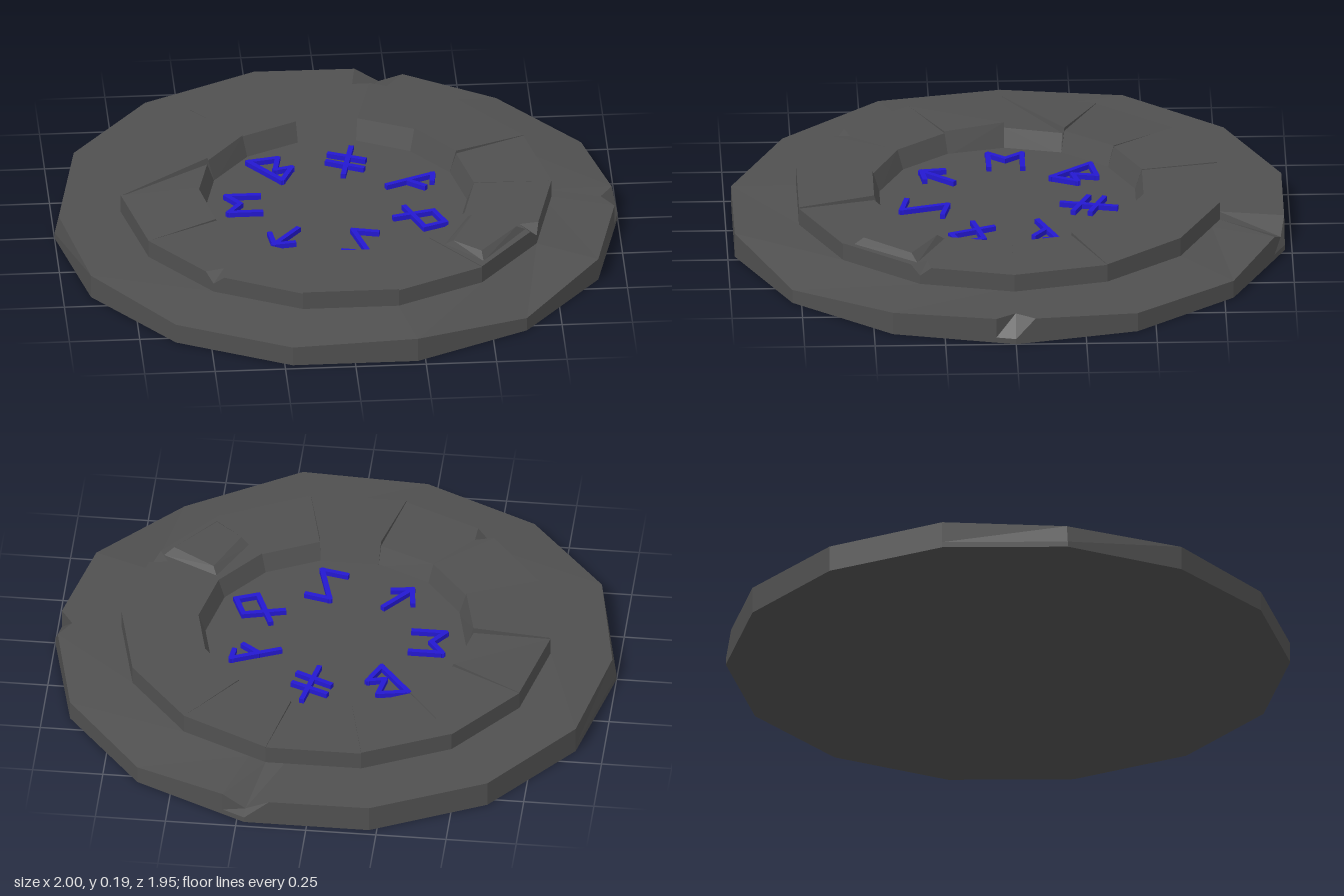
import * as THREE from 'three';
import { ConvexGeometry } from 'three/addons/geometries/ConvexGeometry.js';

const SIDES = 14;
const stoneMat = new THREE.MeshStandardMaterial({ color: 0x505050, flatShading: true });
const runeMat = new THREE.MeshStandardMaterial({ color: 0x2418d0, flatShading: true });

// Point on the 14-sided outline: t counts corners, r is the corner radius
function at(t, r, y) {
  const corner = (k) => {
    const a = (k * Math.PI * 2) / SIDES;
    return new THREE.Vector3(Math.cos(a) * r, y, Math.sin(a) * r);
  };
  const k = Math.floor(t);
  return corner(k).lerp(corner(k + 1), t - k);
}

function add(parent, name, geometry, material) {
  const mesh = new THREE.Mesh(geometry, material);
  mesh.name = name;
  parent.add(mesh);
  return mesh;
}

// Flat-shaded skin over a stack of equal-length loops
function loft(loops) {
  const pts = [];
  for (let j = 0; j + 1 < loops.length; j++) {
    const a = loops[j], b = loops[j + 1], n = a.length;
    for (let i = 0; i < n; i++) {
      const k = (i + 1) % n;
      pts.push(a[i], b[i], a[k], a[k], b[i], b[k]);
    }
  }
  const g = new THREE.BufferGeometry().setFromPoints(pts);
  g.computeVertexNormals();
  return g;
}

// Worn base slab; rim entries are [t, top radius, top height]
function addBase(group) {
  const rim = [
    [-0.16, 1, 0.092], [0, 0.94, 0.093], [0.16, 1, 0.092],
    [1, 1, 0.083], [2, 1, 0.05], [3, 1, 0.09], [4, 1, 0.072], [5, 1, 0.072],
    [6, 1, 0.087], [7, 0.985, 0.087], [8, 1, 0.098], [9, 1, 0.095], [10, 1, 0.097],
    [10.8, 1, 0.095], [11, 0.985, 0.05], [11.2, 1, 0.088], [12, 1, 0.065], [13, 1, 0.07],
  ];
  const ring = (r, y) => rim.map(([t]) => at(t, r, y));
  add(group, 'baseSlab', loft([
    ring(0, 0), ring(1, 0), ring(1, 0.02),
    rim.map(([t, r, y]) => at(t, r, y)),
    ring(0.765, 0.098), ring(0, 0.098),
  ]), stoneMat);
}

// Ring of stones, each with its own corner heights
function addRing(group) {
  const R = 0.765, R_IN = 0.49, R_FOOT = 0.462, FOOT = 0.09;
  const chipped = [1, 5];
  // [outer start, outer end, inner start, inner end]
  const heights = [
    [0.163, 0.163, 0.165, 0.165], [0.163, 0.163, 0.165, 0.165],
    [0.16, 0.16, 0.162, 0.162], [0.165, 0.165, 0.18, 0.18],
    [0.16, 0.163, 0.162, 0.168], [0.163, 0.163, 0.168, 0.168],
    [0.163, 0.165, 0.175, 0.186], null,
    [0.163, 0.163, 0.172, 0.174], [0.165, 0.167, 0.17, 0.17],
    [0.163, 0.163, 0.167, 0.165], [0.165, 0.168, 0.174, 0.176],
    [0.168, 0.165, 0.18, 0.178], [0.163, 0.163, 0.167, 0.167],
  ];
  const ring = new THREE.Group();
  ring.name = 'stoneRing';
  group.add(ring);

  heights.forEach((h, i) => {
    if (!h) return;
    const pts = [];
    [i, i + 1].forEach((t, e) => {
      pts.push(at(t, R, FOOT), at(t, R_FOOT, FOOT), at(t, R_IN, h[2 + e]));
      if (chipped.includes(t)) {
        // broken-off outer corner
        pts.push(at(t, R, 0.13), at(t, 0.7, h[e]), at(t + (e ? -0.12 : 0.12), R, h[e]));
      } else pts.push(at(t, R, h[e]));
    });
    add(ring, 'ringStone', new ConvexGeometry(pts), stoneMat);
  });

  // Stone split along its diagonal into a low and a high piece
  const o7 = [7, R, R], o8 = [8, R, R], i7 = [7, R_IN, R_FOOT], i8 = [8, R_IN, R_FOOT];
  const piece = (corners, tops) => add(ring, 'splitStone', new ConvexGeometry(
    corners.flatMap(([t, r, foot], k) => [at(t, r, tops[k]), at(t, foot, FOOT)])), stoneMat);
  piece([o7, i7, i8], [0.16, 0.165, 0.162]);
  piece([o7, o8, i8], [0.162, 0.165, 0.184]);

  // Raised block with sloping sides
  const quad = (list, y) => list.map(([x, z]) => new THREE.Vector3(x, y, z));
  add(ring, 'raisedBlock', new ConvexGeometry([
    ...quad([[0.355, 0.43], [0.45, 0.235], [0.65, 0.34], [0.485, 0.56]], 0.162),
    ...quad([[0.385, 0.445], [0.465, 0.265], [0.615, 0.36], [0.48, 0.525]], 0.186),
  ]), stoneMat);
}

// Carved signs: each is a list of strokes, each stroke a polyline of [x, z]
function addRunes(group) {
  const signs = [
    [[[-0.27, -0.06], [-0.385, -0.06], [-0.34, 0], [-0.385, 0.06], [-0.27, 0.06]]],
    [[[-0.29, -0.3], [-0.185, -0.32], [-0.2, -0.235], [-0.14, -0.25], [-0.18, -0.16], [-0.29, -0.3]]],
    [[[0.08, -0.38], [0.04, -0.19]], [[0, -0.34], [0.12, -0.29]], [[-0.01, -0.285], [0.11, -0.23]]],
    [[[0.19, -0.1], [0.355, -0.17], [0.35, -0.12]], [[0.26, -0.13], [0.32, -0.085]]],
    [[[0.24, 0.06], [0.3, 0.21], [0.375, 0.18], [0.34, 0.095], [0.2, 0.13]]],
    [[[0.13, 0.235], [0.045, 0.215], [0.09, 0.38], [0, 0.36]]],
    [[[-0.15, 0.19], [-0.24, 0.3]], [[-0.25, 0.22], [-0.24, 0.3], [-0.17, 0.29]]],
  ];
  for (const strokes of signs) {
    const sign = new THREE.Group();
    sign.name = 'rune';
    group.add(sign);
    for (const line of strokes) {
      for (let i = 0; i + 1 < line.length; i++) {
        const [x0, z0] = line[i], [x1, z1] = line[i + 1];
        const len = Math.hypot(x1 - x0, z1 - z0);
        const bar = add(sign, 'runeStroke', new THREE.BoxGeometry(len + 0.015, 0.024, 0.018), runeMat);
        bar.position.set((x0 + x1) / 2, 0.104, (z0 + z1) / 2);
        bar.rotation.y = -Math.atan2(z1 - z0, x1 - x0);
      }
    }
  }
}

export function createModel() {
  const group = new THREE.Group();
  group.name = 'runeDisc';
  addBase(group);
  addRing(group);
  addRunes(group);
  return group;
}
